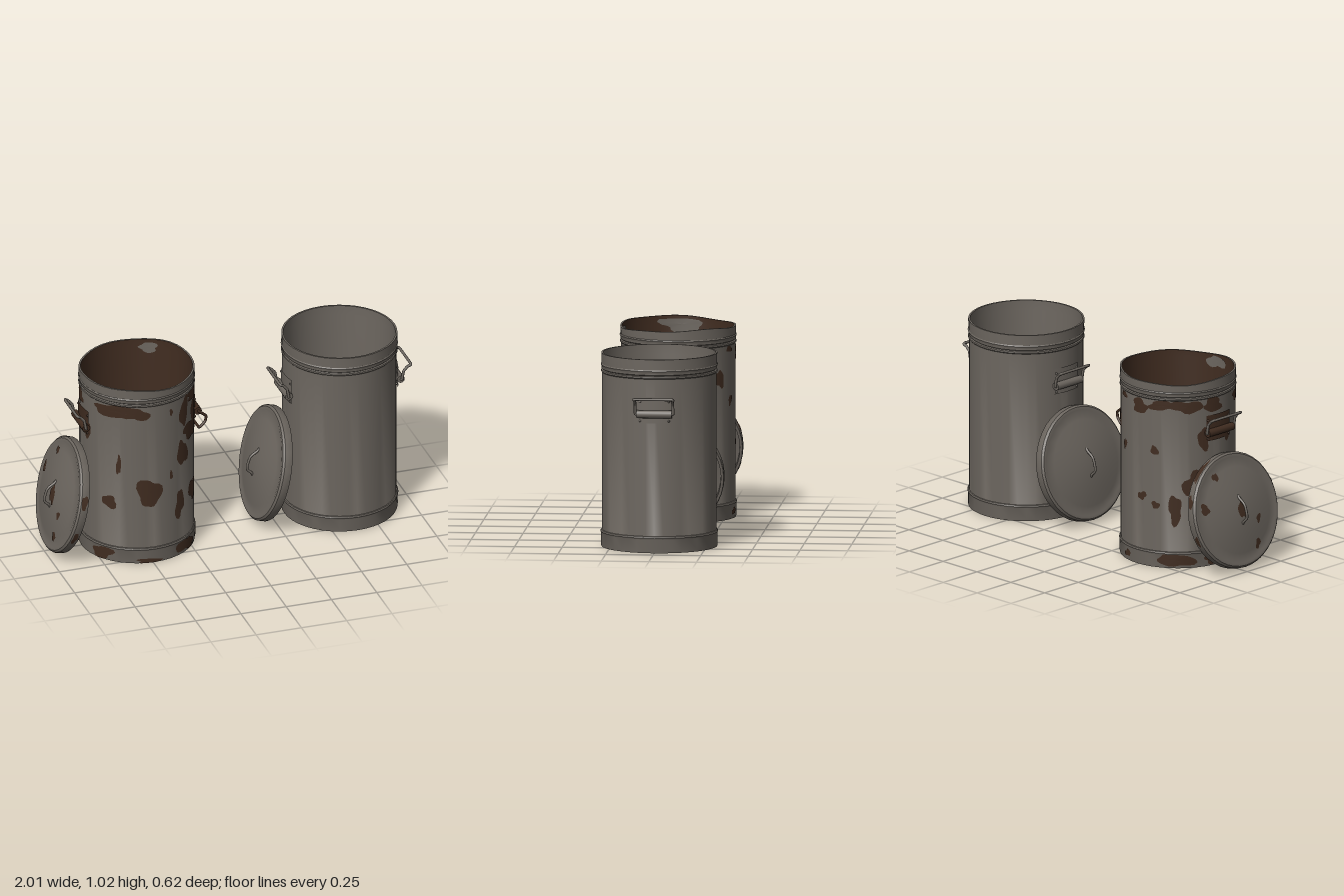
import * as THREE from 'three';
import { toCreasedNormals } from 'three/addons/utils/BufferGeometryUtils.js';

const metal = new THREE.MeshStandardMaterial({ name: 'greyMetal', color: 0x6c665f, side: THREE.DoubleSide });
const rust = new THREE.MeshStandardMaterial({ name: 'rust', color: 0x402c20, side: THREE.DoubleSide });

const v2 = (list) => list.map(([x, y]) => new THREE.Vector2(x, y));
const v3 = (list) => list.map((p) => new THREE.Vector3(...p));

function add(parent, name, geometry, material) {
  const mesh = new THREE.Mesh(geometry, material);
  mesh.name = name;
  parent.add(mesh);
  return mesh;
}

// Turned part with sharp edges; "wave" bends the upper lip of a battered bin
function turned(points, wave = 0) {
  const g = new THREE.LatheGeometry(v2(points), 40);
  const p = g.attributes.position;
  for (let i = 0; i < p.count; i++) {
    if (p.getY(i) < 0.98) continue;
    const a = Math.atan2(p.getX(i), p.getZ(i));
    p.setY(i, p.getY(i) - wave * (0.5 + 0.35 * Math.sin(2 * a + 0.4) + 0.15 * Math.sin(5 * a)));
  }
  return toCreasedNormals(g, 0.6);
}

// Irregular thin patch laid over a surface given by map(u, v)
function blob(w, h, seed, map) {
  const n = 22, rings = 4, pos = [], index = [];
  for (let r = 0; r <= rings; r++) {
    for (let i = 0; i < n; i++) {
      const t = (i / n) * Math.PI * 2;
      const k = (r / rings) * (0.9 + 0.16 * Math.sin(2 * t + seed * 2.1)
        + 0.13 * Math.sin(3 * t + seed * 3.7) + 0.08 * Math.sin(5 * t + seed));
      pos.push(...map(w * k * Math.cos(t), h * k * Math.sin(t)));
      if (r < rings) {
        const a = r * n + i, b = r * n + (i + 1) % n;
        index.push(a, a + n, b + n, a, b + n, b);
      }
    }
  }
  const g = new THREE.BufferGeometry();
  g.setAttribute('position', new THREE.Float32BufferAttribute(pos, 3));
  g.setIndex(index);
  g.computeVertexNormals();
  return g;
}

// Patch wrapped on a cylinder; angle runs from the front (+z) towards +x
function wallPatch(parent, name, [angle, y, w, h], seed, radius, material) {
  const limit = radius > 0.305 ? [0.002, 0.074] : [0.088, 1.0];
  add(parent, name, blob(w, h, seed, (u, v) => {
    const a = angle + u / radius;
    return [radius * Math.sin(a), THREE.MathUtils.clamp(y + v, ...limit), radius * Math.cos(a)];
  }), material);
}

const OUTER = [[0, 0], [0.304, 0], [0.306, 0.01], [0.305, 0.072], [0.309, 0.079], [0.305, 0.086], [0.3, 0.088],
  [0.3, 0.918], [0.306, 0.924], [0.304, 0.931], [0.297, 0.935], [0.303, 0.94], [0.304, 0.954], [0.307, 0.96],
  [0.303, 0.966], [0.304, 1.022], [0.294, 1.022]];
const INNER = [[0.294, 1.022], [0.294, 0.97], [0.291, 0.93], [0.291, 0.04], [0, 0.04]];

// Riveted bracket, sleeve and swinging wire grip on the +x side
function sideHandle(bracketMat, wireMat, drooped) {
  const g = new THREE.Group();
  add(g, 'bracketPlate', new THREE.CylinderGeometry(0.306, 0.306, 0.14, 8, 1, true, Math.PI / 2 - 0.28, 0.56), bracketMat)
    .position.y = 0.757;
  const sleeve = add(g, 'hingeSleeve', new THREE.CylinderGeometry(0.021, 0.021, 0.185, 12), bracketMat);
  sleeve.rotation.x = Math.PI / 2;
  sleeve.position.set(0.309, 0.735, 0);
  for (const a of [-0.25, 0.25]) {
    for (const y of [0.698, 0.8]) {
      add(g, 'rivet', new THREE.SphereGeometry(0.006, 8, 6), bracketMat)
        .position.set(0.306 * Math.cos(a), y, 0.306 * Math.sin(a));
    }
  }
  const side = drooped
    ? [[0.312, 0.735], [0.35, 0.705], [0.346, 0.675], [0.312, 0.642]]
    : [[0.312, 0.735], [0.322, 0.785], [0.342, 0.808], [0.362, 0.82]];
  const path = [[0.312, 0.735, -0.08], ...side.map(([x, y]) => [x, y, -0.099]),
    ...side.reverse().map(([x, y]) => [x, y, 0.099]), [0.312, 0.735, 0.08]];
  const curve = new THREE.CatmullRomCurve3(v3(path), false, 'catmullrom', 0.15);
  add(g, 'wireGrip', new THREE.TubeGeometry(curve, 70, 0.0075, 8), wireMat);
  return g;
}

// Height of the lid's domed top at a given radius
const dome = (r) => 0.05 + 0.036 * Math.cos(Math.min(r / 0.27, 1) * Math.PI / 2);

function lid(rusty) {
  const g = new THREE.Group();
  g.name = 'lid';
  const top = [0.27, 0.23, 0.18, 0.13, 0.08, 0.04, 0].map((r) => [r, dome(r)]);
  add(g, 'lidShell', turned([[0, 0.07], [0.15, 0.058], [0.26, 0.036], [0.287, 0.03], [0.29, 0], [0.304, 0],
    [0.307, 0.006], [0.306, 0.042], [0.296, 0.052], [0.28, 0.053], ...top]), metal);
  // Bent wire knob across the dome
  const curve = new THREE.CatmullRomCurve3(v3([[-0.075, 0.078, 0], [-0.065, 0.088, 0], [-0.045, 0.118, 0],
    [0, 0.122, 0], [0.03, 0.116, 0], [0.06, 0.09, 0], [0.078, 0.078, 0]]));
  add(g, 'lidGrip', new THREE.TubeGeometry(curve, 30, 0.007, 8), metal);
  if (rusty) {
    [[0, 0.01, 0.06, 0.03], [-0.07, 0.12, 0.025, 0.018], [0.05, -0.23, 0.03, 0.03],
      [0.2, -0.12, 0.025, 0.02], [-0.2, 0.1, 0.03, 0.02]].forEach(([x, z, w, h], i) =>
      add(g, 'lidRustSpot', blob(w, h, i + 2, (u, v) =>
        [x + u, dome(Math.hypot(x + u, z + v)) + 0.003, z + v]), rust));
    [[2.2, 0.1], [2.8, 0.04], [3.5, 0.03], [0.3, 0.05], [-1.2, 0.08], [-0.4, 0.04]].forEach(([a, w], i) =>
      add(g, 'lidRimRust', blob(w, 0.016, i + 5, (u, v) =>
        [0.308 * Math.sin(a + u / 0.308), 0.024 + v, 0.308 * Math.cos(a + u / 0.308)]), rust));
  }
  g.position.set(-0.383, 0.31, 0);
  g.rotation.z = THREE.MathUtils.degToRad(76);
  return g;
}

// Rust stains: angle, height, half width, half height
const STAINS = [
  [-0.75, 0.885, 0.13, 0.04], [-0.35, 0.875, 0.08, 0.04], [0.32, 0.86, 0.012, 0.02], [0.64, 0.83, 0.04, 0.09],
  [0.6, 0.59, 0.045, 0.085], [0.82, 0.7, 0.07, 0.05], [-0.64, 0.57, 0.015, 0.06], [-0.1, 0.41, 0.065, 0.1],
  [-0.82, 0.345, 0.055, 0.035], [0.52, 0.3, 0.035, 0.09], [0.97, 0.33, 0.05, 0.075], [0.32, 0.49, 0.012, 0.025],
  [1.1, 0.78, 0.07, 0.13], [1.4, 0.69, 0.08, 0.07], [1.0, 0.89, 0.1, 0.03], [1.5, 0.87, 0.06, 0.05],
  [-2.78, 0.64, 0.022, 0.03], [-2.41, 0.32, 0.042, 0.08], [-2.07, 0.46, 0.065, 0.075], [-2.76, 0.34, 0.022, 0.025],
  [-1.9, 0.7, 0.04, 0.06], [-2.65, 0.89, 0.08, 0.03], [-2.2, 0.885, 0.09, 0.04], [-1.7, 0.88, 0.07, 0.04],
  [2.78, 0.63, 0.02, 0.03], [2.46, 0.75, 0.035, 0.055], [3.2, 0.87, 0.06, 0.04], [3.25, 0.38, 0.03, 0.025],
  [2.75, 0.9, 0.03, 0.02], [-1.35, 0.72, 0.04, 0.05],
];
const BASE_STAINS = [[-0.95, 0.04, 0.07, 0.04], [0.68, 0.045, 0.08, 0.045], [-0.1, 0.012, 0.08, 0.015],
  [1.35, 0.04, 0.06, 0.03], [-2.4, 0.045, 0.1, 0.045], [-1.75, 0.04, 0.05, 0.03], [2.9, 0.04, 0.03, 0.02]];

function bin(rusty) {
  const g = new THREE.Group();
  g.name = rusty ? 'rustyBin' : 'cleanBin';
  const wave = rusty ? 0.02 : 0;
  add(g, 'binShell', turned(OUTER, wave), metal);
  add(g, 'binLining', turned(INNER, wave), rusty ? rust : metal);
  const paint = rusty ? rust : metal;
  const right = sideHandle(paint, paint, rusty);
  right.name = 'leftHandle';
  const left = sideHandle(paint, metal, false);
  left.name = 'rightHandle';
  left.rotation.y = Math.PI;
  g.add(right, left, lid(rusty));
  if (rusty) {
    STAINS.forEach((s, i) => wallPatch(g, 'rustStain', s, i, 0.3025, rust));
    BASE_STAINS.forEach((s, i) => wallPatch(g, 'baseRust', s, i, 0.3085, rust));
    // Bare metal left near the inner lip
    [[-1.55, 0.97, 0.12, 0.05], [0, 0.97, 0.07, 0.04], [2.6, 0.97, 0.06, 0.03]].forEach((s, i) =>
      wallPatch(g, 'bareLiningSpot', s, i, 0.2885, metal));
  }
  return g;
}

export function createModel() {
  const model = new THREE.Group();
  model.name = 'dustbins';
  const worn = bin(true), clean = bin(false);
  worn.position.x = -0.49;
  clean.position.x = 0.63;
  model.add(worn, clean);
  return model;
}
